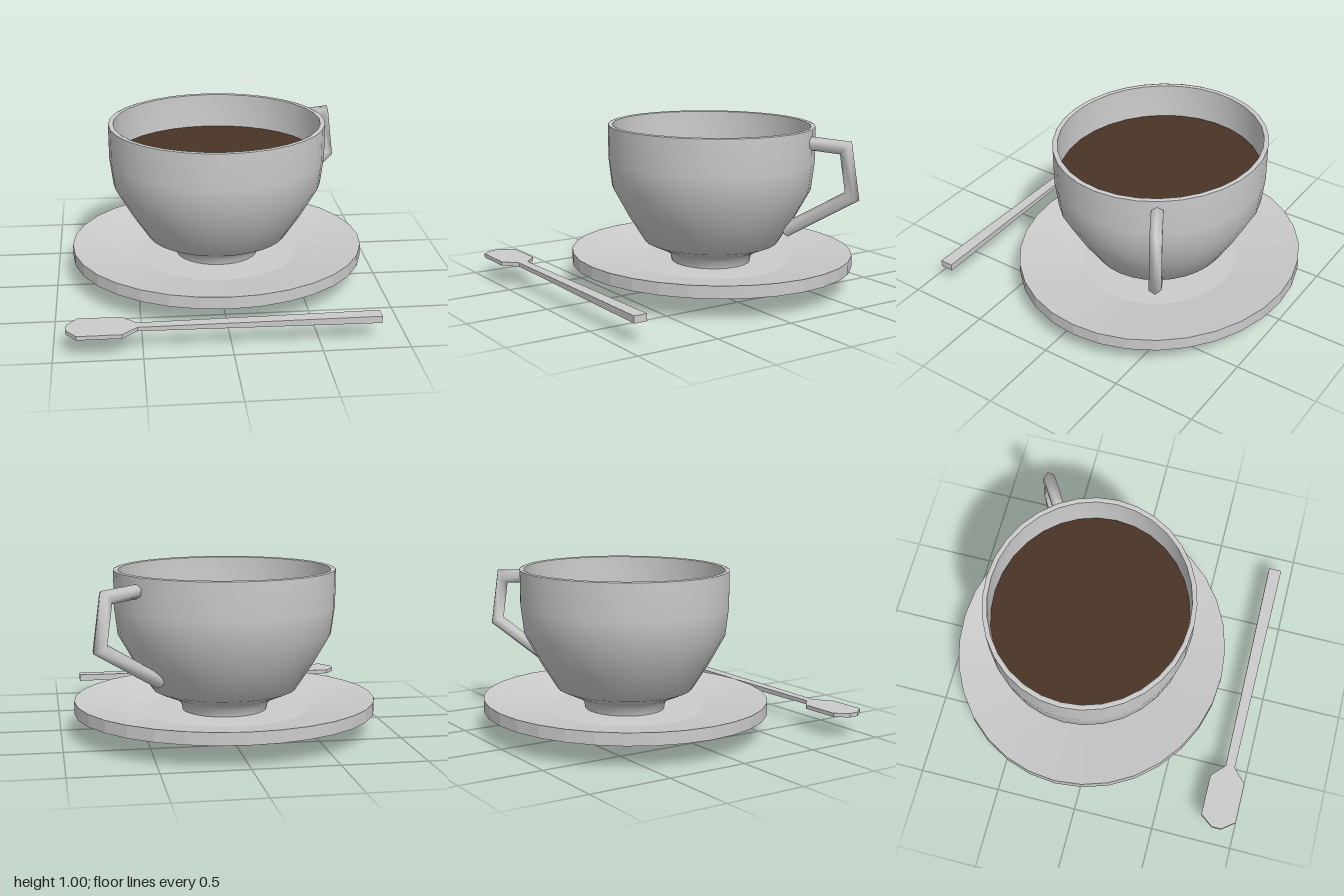
import * as THREE from 'three';

const SIDES = 32;

function material(options = {}) {
  return new THREE.MeshStandardMaterial({ color: 0xcccccc, ...options });
}

function addMesh(parent, name, geometry, mat) {
  const mesh = new THREE.Mesh(geometry, mat);
  mesh.name = name;
  parent.add(mesh);
  return mesh;
}

function lathe(points) {
  return new THREE.LatheGeometry(points.map(([r, y]) => new THREE.Vector2(r, y)), SIDES);
}

// Sweep a six-sided section along a bent path in the XY plane, with mitred corners.
function mitredBar(path, radius, sides = 6) {
  const pts = path.map(([x, y]) => new THREE.Vector2(x, y));
  const positions = [], index = [];
  pts.forEach((p, i) => {
    const before = p.clone().sub(pts[Math.max(i - 1, 0)]).normalize();
    const after = pts[Math.min(i + 1, pts.length - 1)].clone().sub(p).normalize();
    const dir = before.clone().add(after).normalize();
    const stretch = 1 / dir.dot(i ? before : after);
    for (let k = 0; k < sides; k++) {
      const a = (k / sides) * Math.PI * 2;
      const m = Math.cos(a) * radius * stretch;
      positions.push(p.x - dir.y * m, p.y + dir.x * m, Math.sin(a) * radius);
    }
  });
  for (let i = 0; i < pts.length - 1; i++) {
    for (let k = 0; k < sides; k++) {
      const a = i * sides + k, b = i * sides + (k + 1) % sides;
      index.push(a, b, a + sides, b, b + sides, a + sides);
    }
  }
  // End caps
  const last = (pts.length - 1) * sides;
  for (let k = 1; k < sides - 1; k++) {
    index.push(0, k + 1, k, last, last + k, last + k + 1);
  }
  const geometry = new THREE.BufferGeometry();
  geometry.setAttribute('position', new THREE.Float32BufferAttribute(positions, 3));
  geometry.setIndex(index);
  geometry.computeVertexNormals();
  return geometry;
}

// Flat spoon outline, thickened towards the end of its handle.
function spoonGeometry() {
  const half = [[-0.925, 0.03], [-0.865, 0.108], [-0.615, 0.108], [-0.53, 0.029], [0.845, 0.04]];
  const outline = [...half.map(([x, z]) => [x, -z]), ...half.reverse()];
  const shape = new THREE.Shape(outline.map(([x, z]) => new THREE.Vector2(x, z)));
  const geometry = new THREE.ExtrudeGeometry(shape, { depth: 1, bevelEnabled: false });
  geometry.translate(0, 0, -0.5).rotateX(Math.PI / 2);
  const pos = geometry.attributes.position;
  for (let i = 0; i < pos.count; i++) {
    const t = THREE.MathUtils.clamp((pos.getX(i) + 0.53) / 1.375, 0, 1);
    pos.setY(i, pos.getY(i) * (0.024 + 0.018 * t));
  }
  geometry.computeVertexNormals();
  return geometry;
}

export function createModel() {
  const model = new THREE.Group();
  model.name = 'cupAndSaucer';

  // Cup and saucer share one axis and are slightly narrower front to back
  const service = new THREE.Group();
  service.name = 'cupOnSaucer';
  service.position.set(0.01, 0, -0.148);
  service.scale.z = 0.935;
  model.add(service);

  // Saucer with foot ring, flat rim edge and shallow well
  addMesh(service, 'saucer', lathe([
    [0, 0], [0.313, 0], [0.313, 0.035], [0.91, 0.135], [0.91, 0.21], [0.5, 0.14], [0, 0.14],
  ]), material({ flatShading: true }));

  // Cup: foot, bowl, rounded lip and lining
  const cup = new THREE.Group();
  cup.name = 'cup';
  service.add(cup);
  addMesh(cup, 'cupFoot', lathe([[0.255, 0.138], [0.265, 0.18], [0.295, 0.21]]), material());
  addMesh(cup, 'cupBowl', lathe([
    [0.295, 0.21], [0.435, 0.27], [0.54, 0.43], [0.643, 0.61], [0.664, 0.78], [0.665, 0.995],
  ]), material());
  addMesh(cup, 'cupLip', lathe([[0.665, 0.995], [0.65, 1], [0.635, 0.995]]), material());
  addMesh(cup, 'cupLining', lathe([
    [0.635, 0.995], [0.634, 0.78], [0.613, 0.62], [0.51, 0.44], [0.41, 0.3], [0, 0.25],
  ]), material());

  // Drink surface
  const drink = addMesh(cup, 'drink', new THREE.CircleGeometry(0.634, SIDES), material({ color: 0x4a3326 }));
  drink.rotation.x = -Math.PI / 2;
  drink.position.y = 0.78;

  // Angular handle, turned towards the back left
  const handle = addMesh(cup, 'handle', mitredBar(
    [[0.65, 0.915], [0.88, 0.9], [0.926, 0.615], [0.5, 0.37]], 0.042), material());
  handle.rotation.y = THREE.MathUtils.degToRad(33);

  // Spoon lying in front of the saucer
  const spoon = addMesh(model, 'spoon', spoonGeometry(), material({ flatShading: true }));
  spoon.position.set(0, 0.14, 0.885);

  return model;
}
